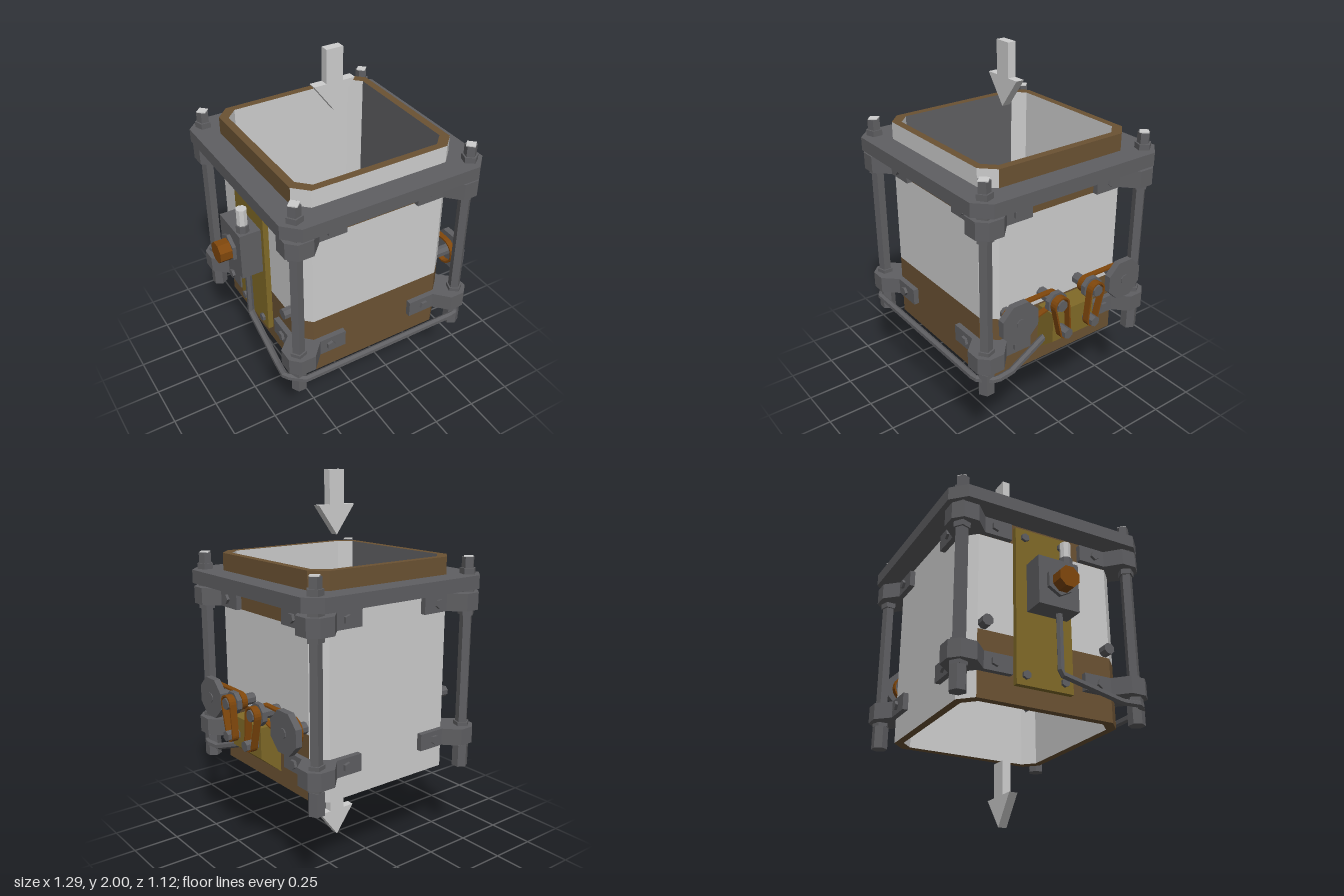
import * as THREE from 'three';

const mat = (name, color, side = THREE.FrontSide) => {
  const m = new THREE.MeshStandardMaterial({ color, side });
  m.name = name;
  return m;
};

export function createModel() {
  const light = mat('lightGrey', 0xcdcdcd);
  const dark = mat('darkGrey', 0x5f5f62);
  const brown = mat('brown', 0x6b5233);
  const gold = mat('gold', 0x806a28);
  const orange = mat('orange', 0x80470c, THREE.DoubleSide);

  const root = new THREE.Group();
  root.name = 'flapValve';
  const body = new THREE.Group(); // everything symmetric about the duct axis
  body.name = 'body';
  body.position.x = 0.02;
  root.add(body);

  const add = (parent, name, geo, material, x = 0, y = 0, z = 0) => {
    const m = new THREE.Mesh(geo, material);
    m.name = name;
    m.position.set(x, y, z);
    parent.add(m);
    return m;
  };
  const flat = (geo) => {
    const g = geo.toNonIndexed();
    g.computeVertexNormals();
    return g;
  };
  const box = (parent, name, m, x0, x1, y0, y1, z0, z1) =>
    add(parent, name, new THREE.BoxGeometry(x1 - x0, y1 - y0, z1 - z0), m,
      (x0 + x1) / 2, (y0 + y1) / 2, (z0 + z1) / 2);
  const rodY = (parent, name, m, r, y0, y1, x, z, n) =>
    add(parent, name, flat(new THREE.CylinderGeometry(r, r, y1 - y0, n)), m, x, (y0 + y1) / 2, z);
  const rodX = (parent, name, m, r, x0, x1, y, z, n) =>
    add(parent, name, flat(new THREE.CylinderGeometry(r, r, x1 - x0, n).rotateY(Math.PI / n).rotateZ(-Math.PI / 2)),
      m, (x0 + x1) / 2, y, z);
  const shapeOf = (pts) => new THREE.Shape(pts.map((p) => new THREE.Vector2(p[0], p[1])));
  const extrude = (shape, depth) => new THREE.ExtrudeGeometry(shape, { depth, bevelEnabled: false });
  // plan outline (x, z) extruded upward from y0 to y1
  const slab = (shape, y0, y1) => extrude(shape, y1 - y0).rotateX(Math.PI / 2).translate(0, y1, 0);
  // side outline (-z, y) extruded along x
  const alongX = (shape, x0, x1) => extrude(shape, x1 - x0).rotateY(Math.PI / 2).translate(x0, 0, 0);

  // chamfered square; edges: 0 +x+z, 1 +x, 2 +x-z, 3 -z, 4 -x-z, 5 -x, 6 -x+z, 7 +z
  const octagon = (h, c) => {
    const k = h - c;
    return [[k, h], [h, k], [h, -k], [k, -h], [-k, -h], [-h, -k], [-h, k], [-k, h]];
  };
  const ring = (h, c, hi, ci) => {
    const s = shapeOf(octagon(h, c));
    s.holes.push(shapeOf(octagon(hi, ci)));
    return s;
  };
  const walls = (pts, edges, y0, y1, inward) => {
    const v = [];
    for (const i of edges) {
      let a = pts[i], b = pts[(i + 1) % 8];
      if (inward) [a, b] = [b, a];
      v.push(a[0], y0, a[1], b[0], y0, b[1], b[0], y1, b[1]);
      v.push(a[0], y0, a[1], b[0], y1, b[1], a[0], y1, a[1]);
    }
    const g = new THREE.BufferGeometry();
    g.setAttribute('position', new THREE.Float32BufferAttribute(v, 3));
    g.computeVertexNormals();
    return g;
  };

  // Duct walls, split in bands of colour
  const outer = octagon(0.44, 0.07), inner = octagon(0.4, 0.06);
  const all = [0, 1, 2, 3, 4, 5, 6, 7];
  add(body, 'ductBackWall', walls(outer, [2, 3, 4], 0.46, 1.42), light);
  add(body, 'ductLowerBand', walls(outer, [5, 6, 7, 0, 1], 0.46, 0.8), brown);
  add(body, 'ductMiddleBand', walls(outer, [5, 6, 7, 0, 1], 0.8, 1.31), light);
  add(body, 'ductUpperBand', walls(outer, [5, 7, 1], 1.31, 1.42), brown);
  add(body, 'ductUpperCorners', walls(outer, [6, 0], 1.31, 1.42), light);
  add(body, 'collarFront', walls(outer, [6, 7, 0], 1.42, 1.58), light);
  add(body, 'collar', walls(outer, [1, 2, 3, 4, 5], 1.42, 1.58), brown);
  add(body, 'ductLining', walls(inner, all, 0.46, 0.83, true), light);
  add(body, 'ductUpperLining', walls(inner, [0, 2, 3, 4, 6, 7], 0.83, 1.58, true), light);
  add(body, 'sideLining', walls(inner, [1, 5], 0.83, 1.58, true), dark);
  const rim = () => new THREE.ShapeGeometry(ring(0.44, 0.07, 0.4, 0.06));
  add(body, 'topRim', rim().rotateX(-Math.PI / 2), brown, 0, 1.58, 0);
  add(body, 'bottomRim', rim().rotateX(Math.PI / 2), brown, 0, 0.46, 0);

  // Flange plate
  add(body, 'flange', slab(ring(0.56, 0.075, 0.44, 0.07), 1.42, 1.49), dark);

  // Corner brackets, tie rods, nuts and feet
  const bracket = shapeOf([[0.2, 0.47], [0.35, 0.47], [0.42, 0.545], [0.5, 0.545], [0.545, 0.5], [0.545, 0.42],
    [0.47, 0.35], [0.47, 0.2], [0.441, 0.2], [0.441, 0.371], [0.371, 0.441], [0.2, 0.441]]);
  for (let i = 0; i < 4; i++) {
    const corner = new THREE.Group();
    corner.name = 'corner' + (i + 1);
    corner.rotation.y = i * Math.PI / 2;
    body.add(corner);
    for (const y of [0.59, 1.31]) {
      add(corner, 'bracket', slab(bracket, y, y + 0.09), dark);
      rodX(corner, 'bracketBolt', dark, 0.025, 0.47, 0.485, y + 0.045, 0.29, 5);
      add(corner, 'bracketBolt', flat(new THREE.CylinderGeometry(0.025, 0.025, 0.015, 5).rotateX(Math.PI / 2)),
        dark, 0.29, y + 0.045, 0.477);
    }
    const p = 0.482;
    rodY(corner, 'tieRod', dark, 0.033, 0.5, 1.575, p, p, 5);
    rodY(corner, 'rodTip', light, 0.033, 1.575, 1.58, p, p, 4);
    rodY(corner, 'foot', dark, 0.043, 0.45, 0.57, p, p, 6);
    for (const [a, b] of [[0.57, 0.59], [0.68, 0.7], [1.28, 1.31], [1.4, 1.42], [1.49, 1.52]])
      rodY(corner, 'nut', dark, 0.043, a, b, p, p, 5);
  }

  // Pair of closed flaps on their shafts
  for (const s of [1, -1]) {
    const pts = [[0, 0.83], [0.33, 0.83], [0.36, 0.77], [0.37, 0.78], [0.34, 0.85], [0, 0.85]].map(([z, y]) => [z * s, y]);
    add(root, 'flap', alongX(shapeOf(pts), -0.38, 0.42), dark);
    rodX(root, 'flapShaft', dark, 0.03, -0.47, 0.56, 0.83, 0.34 * s, 8);
  }

  // Thin belt loop around two pulleys in the side plane
  const hull = (z1, y1, r1, z2, y2, r2) => {
    const a = Math.atan2(y2 - y1, z1 - z2);
    const d = Math.acos((r1 - r2) / Math.hypot(z2 - z1, y2 - y1));
    const s = new THREE.Shape();
    s.absarc(-z2, y2, r2, a - d, a + d, false);
    s.absarc(-z1, y1, r1, a + d, a - d + 2 * Math.PI, false);
    s.closePath();
    return s;
  };
  const belt = (name, z1, y1, r1, z2, y2, r2, x0, x1) => {
    const s = hull(z1, y1, r1, z2, y2, r2);
    s.holes.push(hull(z1, y1, r1 - 0.009, z2, y2, r2 - 0.009));
    const g = new THREE.ExtrudeGeometry(s, { depth: x1 - x0, bevelEnabled: false, curveSegments: 5 });
    add(root, name, g.rotateY(Math.PI / 2).translate(x0, 0, 0), orange);
  };

  // Drive on the left side: motor case, wheels, hubs, belts
  add(root, 'motorCase', extrude(shapeOf([[0.46, 0.535], [0.575, 0.63], [0.575, 0.79], [0.46, 0.79]]), 0.26)
    .translate(0, 0, -0.13), gold);
  for (const s of [1, -1]) {
    rodX(root, 'wheel', dark, 0.113, 0.55, 0.585, 0.83, 0.337 * s, 8);
    rodX(root, 'wheelHub', dark, 0.026, 0.585, 0.59, 0.83, 0.337 * s, 8);
    rodX(root, 'hub', dark, 0.06, 0.56, 0.587, 0.86, 0.115 * s, 8);
    rodX(root, 'hubAxle', dark, 0.03, 0.46, 0.627, 0.86, 0.115 * s, 8);
    rodX(root, 'crankBolt', dark, 0.028, 0.575, 0.645, 0.7, 0.088 * s, 6);
    belt('crankBelt', 0.115 * s, 0.86, 0.046, 0.088 * s, 0.7, 0.034, 0.588, 0.625);
    belt('wheelBelt', 0.337 * s, 0.83, 0.075, 0.115 * s, 0.86, 0.046, 0.52, 0.55);
  }

  // Sensor on the right side with its mounting plate
  box(root, 'sensorPlate', gold, -0.45, -0.421, 0.55, 1.39, -0.18, 0.13);
  for (const y of [0.6, 1.34]) for (const z of [-0.13, 0.08])
    rodX(root, 'plateBolt', dark, 0.022, -0.465, -0.45, y, z, 6);
  box(root, 'sensorBox', dark, -0.565, -0.45, 0.93, 1.19, -0.12, 0.105);
  rodY(root, 'sensorStub', light, 0.028, 1.19, 1.32, -0.525, 0.06, 8);
  rodY(root, 'stubCollar', dark, 0.035, 1.19, 1.23, -0.525, 0.06, 8);
  rodX(root, 'knobNeck', dark, 0.075, -0.585, -0.565, 1.06, -0.01, 6);
  rodX(root, 'knob', orange, 0.058, -0.65, -0.585, 1.06, 0, 8);

  // Cable from the sensor round the front to the motor case
  const cable = new THREE.CurvePath();
  const path = [[-0.5, 0.95, 0.03], [-0.5, 0.62, 0.03], [-0.52, 0.535, 0.36], [-0.53, 0.535, 0.46], [-0.45, 0.535, 0.53],
    [0.48, 0.535, 0.53], [0.55, 0.535, 0.46], [0.54, 0.535, 0.36], [0.5, 0.62, 0.12]].map((p) => new THREE.Vector3(...p));
  for (let i = 1; i < path.length; i++) cable.add(new THREE.LineCurve3(path[i - 1], path[i]));
  add(root, 'cable', flat(new THREE.TubeGeometry(cable, 80, 0.018, 6)), dark);

  // Flow arrows above and below
  const arrow = shapeOf([[0, 0], [0.112, 0.15], [0.045, 0.15], [0.045, 0.322], [-0.045, 0.322], [-0.045, 0.15], [-0.112, 0.15]]);
  for (const y of [0, 1.678])
    add(body, 'flowArrow', extrude(arrow, 0.045).translate(0, 0, -0.0225), light, 0, y, 0);

  return root;
}
